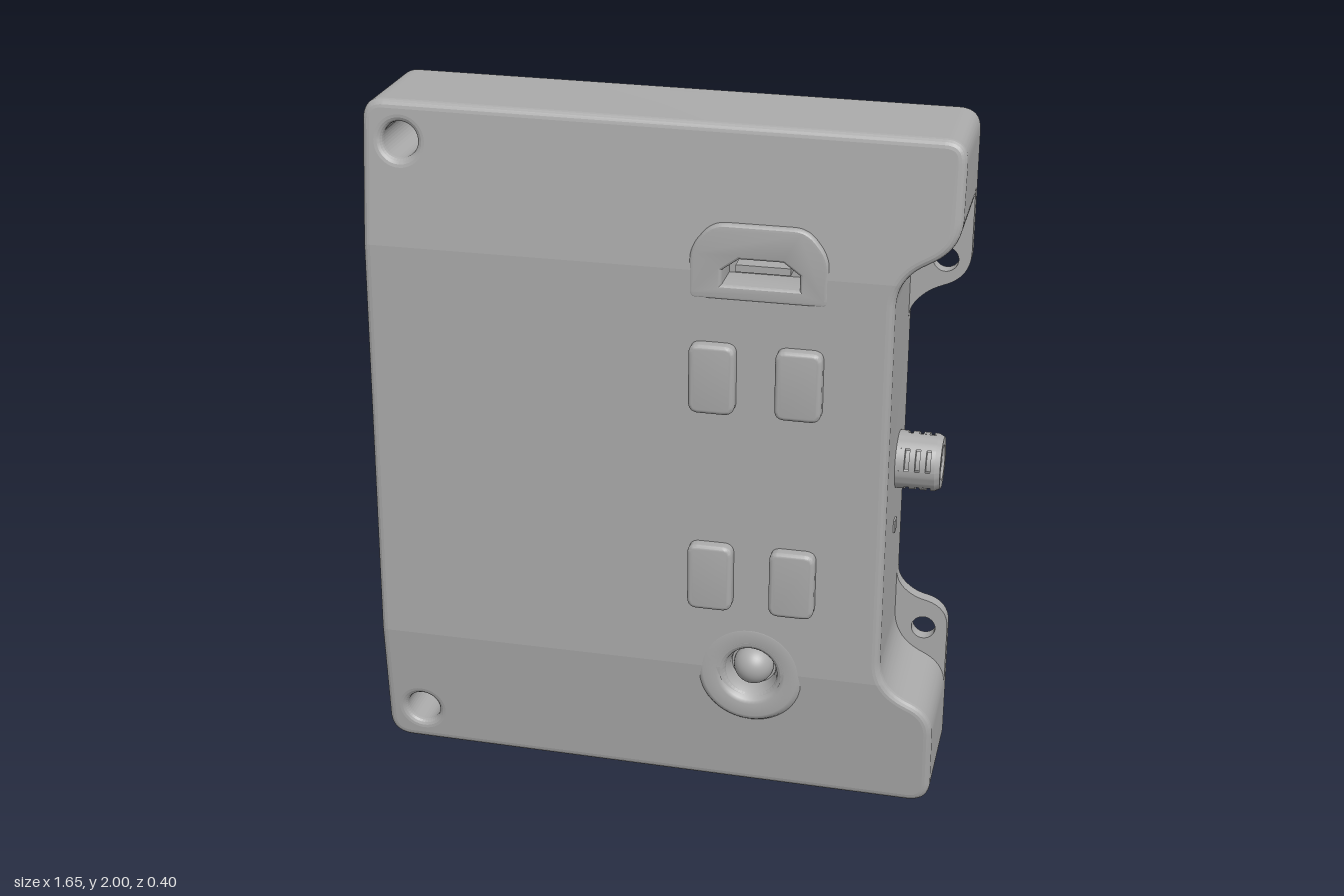
import * as THREE from 'three';
import { toCreasedNormals } from 'three/addons/utils/BufferGeometryUtils.js';

const BACK = -0.2, PLATE = -0.16, FRONT = 0.165;

// Closed outline from [x, y, cornerCut] points
function outline(points, Type = THREE.Shape) {
  const s = new Type(), n = points.length;
  points.forEach(([x, y, r = 0], i) => {
    const toward = (q) => {
      const d = Math.hypot(q[0] - x, q[1] - y);
      return [x + (q[0] - x) * r / d, y + (q[1] - y) * r / d];
    };
    const a = toward(points[(i + n - 1) % n]), b = toward(points[(i + 1) % n]);
    if (i) s.lineTo(...a); else s.moveTo(...a);
    if (r) s.quadraticCurveTo(x, y, ...b);
  });
  s.closePath();
  return s;
}

function circle(x, y, r) {
  return new THREE.Path().absarc(x, y, r, 0, Math.PI * 2, true);
}

// Extrusion between two depths; the bevel stays inside the outline
function slab(shape, z0, z1, bevel = 0, curveSegments = 16) {
  return new THREE.ExtrudeGeometry(shape, {
    depth: z1 - z0 - bevel, curveSegments, bevelEnabled: bevel > 0,
    bevelThickness: bevel, bevelSize: bevel, bevelOffset: -bevel, bevelSegments: 4,
  }).translate(0, 0, z0);
}

// Cut every triangle along a horizontal line so the front can fold there
function splitAtY(geo, c) {
  const p = geo.attributes.position, out = [];
  for (let i = 0; i < p.count; i += 3) {
    const tri = [0, 1, 2].map((k) => new THREE.Vector3().fromBufferAttribute(p, i + k));
    for (const side of [1, -1]) {
      const poly = [];
      tri.forEach((a, k) => {
        const b = tri[(k + 1) % 3], da = (a.y - c) * side, db = (b.y - c) * side;
        if (da >= 0) poly.push(a);
        if (da * db < 0) poly.push(a.clone().lerp(b, da / (da - db)));
      });
      if (poly.length < 3 || poly.every((v) => Math.abs(v.y - c) < 1e-7 && side < 0)) continue;
      for (let k = 1; k < poly.length - 1; k++) {
        for (const v of [poly[0], poly[k], poly[k + 1]]) out.push(v.x, v.y, v.z);
      }
    }
  }
  return new THREE.BufferGeometry().setAttribute('position', new THREE.Float32BufferAttribute(out, 3));
}

export function createModel() {
  const group = new THREE.Group();
  const grey = new THREE.MeshStandardMaterial({ color: 0xaaaaaa });
  grey.name = 'casing grey';
  const greyOpen = grey.clone();
  greyOpen.side = THREE.DoubleSide;
  const add = (name, geo, mat = grey) => {
    const m = new THREE.Mesh(geo, mat);
    m.name = name;
    group.add(m);
    return m;
  };
  const screws = [[-0.71, 1.89], [-0.72, 0.125]];
  const lugs = [[0.75, 1.57], [0.74, 0.425]];
  const left = [[0.82, 1.988, 0.06], [-0.815, 2, 0.06], [-0.83, 0.015, 0.07], [0.81, 0, 0.07]];

  // Main casing, with the front face sloping back toward top and bottom
  const bodyShape = outline([
    [0.81, 0.31, 0.07], [0.655, 0.385, 0.09], [0.655, 1.61, 0.08], [0.82, 1.705, 0.08], ...left,
  ]);
  for (const [x, y] of screws) bodyShape.holes.push(circle(x, y, 0.05));
  bodyShape.holes.push(circle(0.285, 0.39, 0.075));
  bodyShape.holes.push(outline([[0.17, 1.545], [0.17, 1.66], [0.42, 1.66], [0.42, 1.545]], THREE.Path));
  let body = slab(bodyShape, PLATE, FRONT, 0.022, 20);
  for (const y of [0.4, 1.6]) body = splitAtY(body, y);
  const pos = body.attributes.position;
  for (let i = 0; i < pos.count; i++) {
    const over = Math.max(0, Math.abs(pos.getY(i) - 1) - 0.6);
    const depth = FRONT - PLATE;
    const z = Math.max(pos.getZ(i), PLATE);
    pos.setZ(i, PLATE + (z - PLATE) * (depth - over * 0.115) / depth);
  }
  add('casing', toCreasedNormals(body, 0.1));

  // Back plate with two mounting lugs
  const plate = outline([
    [0.81, 0.50, 0.07], [0.70, 0.525, 0.04], [0.655, 0.575, 0.03],
    [0.655, 1.42, 0.03], [0.70, 1.475, 0.04], [0.82, 1.525, 0.07], ...left,
  ]);
  for (const [x, y] of [...screws, ...lugs]) plate.holes.push(circle(x, y, 0.035));
  add('backPlate', toCreasedNormals(slab(plate, BACK, PLATE, 0, 20), 0.3));

  // Raised surround with a recessed socket
  const hump = outline([
    [0.10, 1.52, 0.02], [0.48, 1.52, 0.02], [0.48, 1.66, 0.04],
    [0.42, 1.735, 0.04], [0.16, 1.735, 0.04], [0.10, 1.66, 0.04],
  ]);
  hump.holes.push(outline([
    [0.19, 1.565], [0.19, 1.605], [0.235, 1.638], [0.355, 1.638], [0.40, 1.605], [0.40, 1.565],
  ], THREE.Path));
  add('socketSurround', toCreasedNormals(slab(hump, 0.05, 0.167, 0.012), 0.3));
  add('socketFloor', new THREE.BoxGeometry(0.25, 0.12, 0.02).translate(0.295, 1.60, 0.05));
  add('socketTongue', new THREE.BoxGeometry(0.15, 0.02, 0.07).translate(0.295, 1.60, 0.09));

  // Four push buttons
  for (const [x, y] of [[0.17, 1.30], [0.408, 1.30], [0.17, 0.70], [0.403, 0.70]]) {
    const w = 0.064, h = 0.1;
    const shape = outline([
      [x - w, y - h, 0.03], [x + w, y - h, 0.03], [x + w, y + h, 0.03], [x - w, y + h, 0.03],
    ]);
    add('button', toCreasedNormals(slab(shape, 0.13, 0.2, 0.012, 8), 0.5));
  }

  // Round dished surround with a domed knob
  const ring = [[0.064, 0.07], [0.066, 0.115], [0.075, 0.14], [0.09, 0.16], [0.1, 0.1662], [0.137, 0.1662],
    [0.15, 0.16], [0.16, 0.145], [0.17, 0.09]].map(([r, z]) => new THREE.Vector2(r, z));
  const facing = (geo) => geo.rotateX(Math.PI / 2).translate(0.285, 0.39, 0);
  add('knobSurround', facing(new THREE.LatheGeometry(ring, 48)), greyOpen);
  add('knobWell', facing(new THREE.CylinderGeometry(0.08, 0.08, 0.02, 32).translate(0, 0.085, 0)));
  add('knob', facing(new THREE.SphereGeometry(0.058, 32, 12, 0, Math.PI * 2, 0, Math.PI / 2).translate(0, 0.1, 0)));

  // Side connector: tapered barrel with grooved and plain sectors
  const connector = new THREE.Group();
  connector.name = 'sideConnector';
  const plain = [[0.083, -0.02], [0.081, 0.11], [0.073, 0.125], [0.05, 0.125], [0.043, 0.118], [0.043, 0.04], [0, 0.04]];
  const grooved = [plain[0]];
  for (const x of [0.025, 0.055, 0.085]) {
    grooved.push([0.082, x], [0.07, x + 0.001], [0.07, x + 0.012], [0.082, x + 0.013]);
  }
  grooved.push(...plain.slice(1));
  for (let i = 0; i < 8; i++) {
    const profile = (i % 2 ? grooved : plain).map(([r, x]) => new THREE.Vector2(r, x));
    const geo = new THREE.LatheGeometry(profile, 8, (i - 0.5) * Math.PI / 4, Math.PI / 4);
    const sector = new THREE.Mesh(toCreasedNormals(geo.toNonIndexed(), 0.4), greyOpen);
    sector.name = i % 2 ? 'grooveSector' : 'plainSector';
    connector.add(sector);
  }
  connector.rotation.set(Math.PI / 8, 0, -Math.PI / 2);
  connector.position.set(0.655, 1, -0.073);
  group.add(connector);

  // Small indicator below the connector
  add('indicator', new THREE.BoxGeometry(0.008, 0.036, 0.034).translate(0.656, 0.81, -0.037));

  return group;
}
